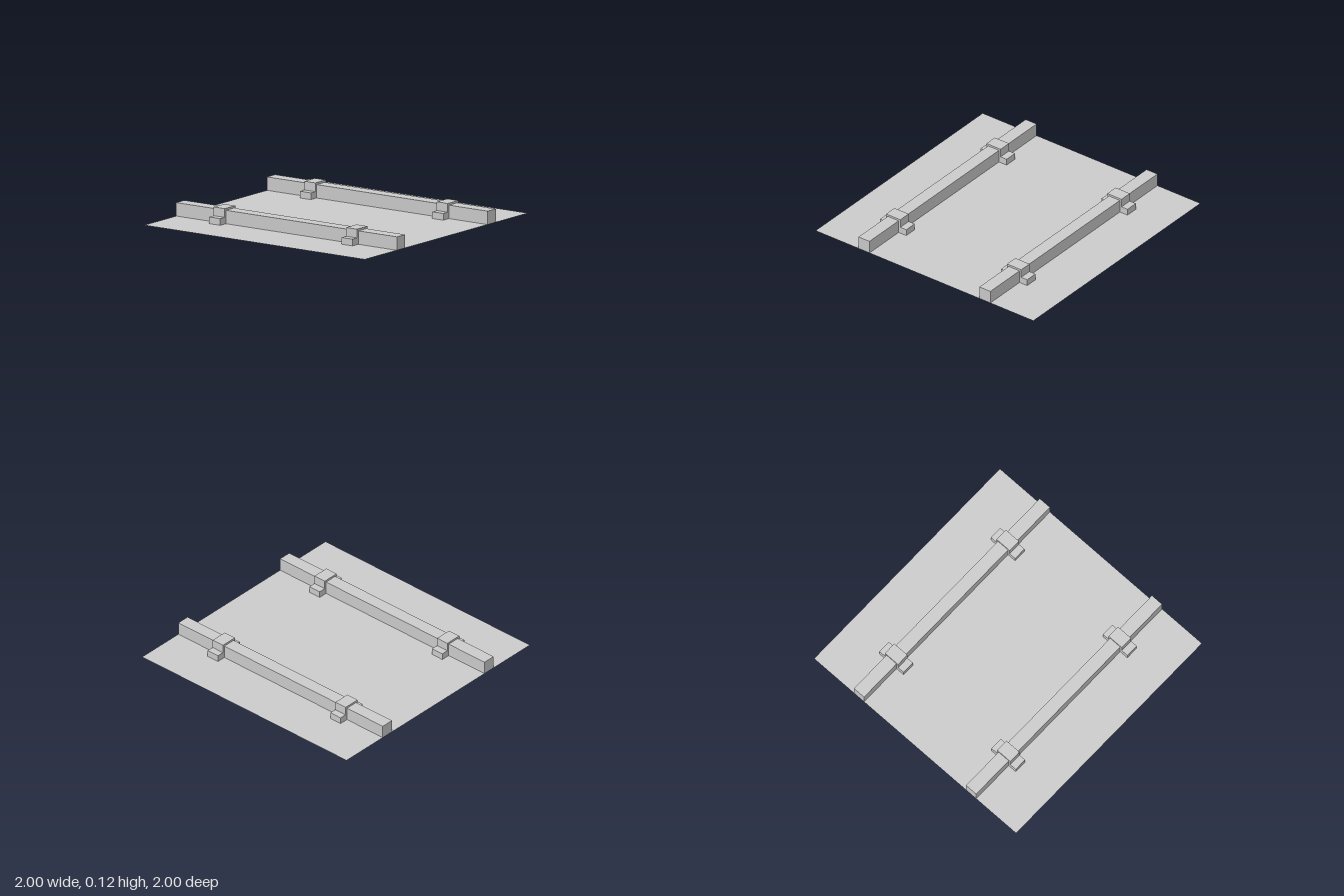
import * as THREE from 'three';

export function createModel() {
  const model = new THREE.Group();
  model.name = 'railPanel';
  const material = new THREE.MeshStandardMaterial({ color: 0xcccccc, flatShading: true });
  const sheetMaterial = new THREE.MeshStandardMaterial({ color: 0xcccccc, side: THREE.DoubleSide });

  const add = (name, geometry, mat, x, y, z) => {
    const mesh = new THREE.Mesh(geometry, mat);
    mesh.name = name;
    mesh.position.set(x, y, z);
    model.add(mesh);
  };

  // Thin square base sheet
  add('baseSheet', new THREE.PlaneGeometry(2, 2).rotateX(-Math.PI / 2), sheetMaterial, 0, 0, 0);

  // Hat-shaped clamp profile: two feet, a bridge and a channel for the rail
  const half = [[0.05, 0], [0.12, 0], [0.12, 0.05], [0.065, 0.05], [0.065, 0.115]];
  const mirrored = half.map(([x, y]) => [-x, y]).reverse();
  const outline = [...half, ...mirrored, [-0.05, 0.1], [0.05, 0.1]];
  const profile = new THREE.Shape(outline.map(([x, y]) => new THREE.Vector2(x, y)));
  const clampGeometry = new THREE.ExtrudeGeometry(profile, { depth: 0.1, bevelEnabled: false });
  clampGeometry.translate(0, 0, -0.05);

  // Two square rails, each held by two clamps
  const railGeometry = new THREE.BoxGeometry(0.1, 0.1, 2);
  for (const [side, x] of [['left', 0.555], ['right', -0.555]]) {
    add(`${side}Rail`, railGeometry, material, x, 0.05, 0);
    for (const [end, z] of [['Front', 0.6], ['Back', -0.6]]) {
      add(`${side}${end}Clamp`, clampGeometry, material, x, 0, z);
    }
  }
  return model;
}
